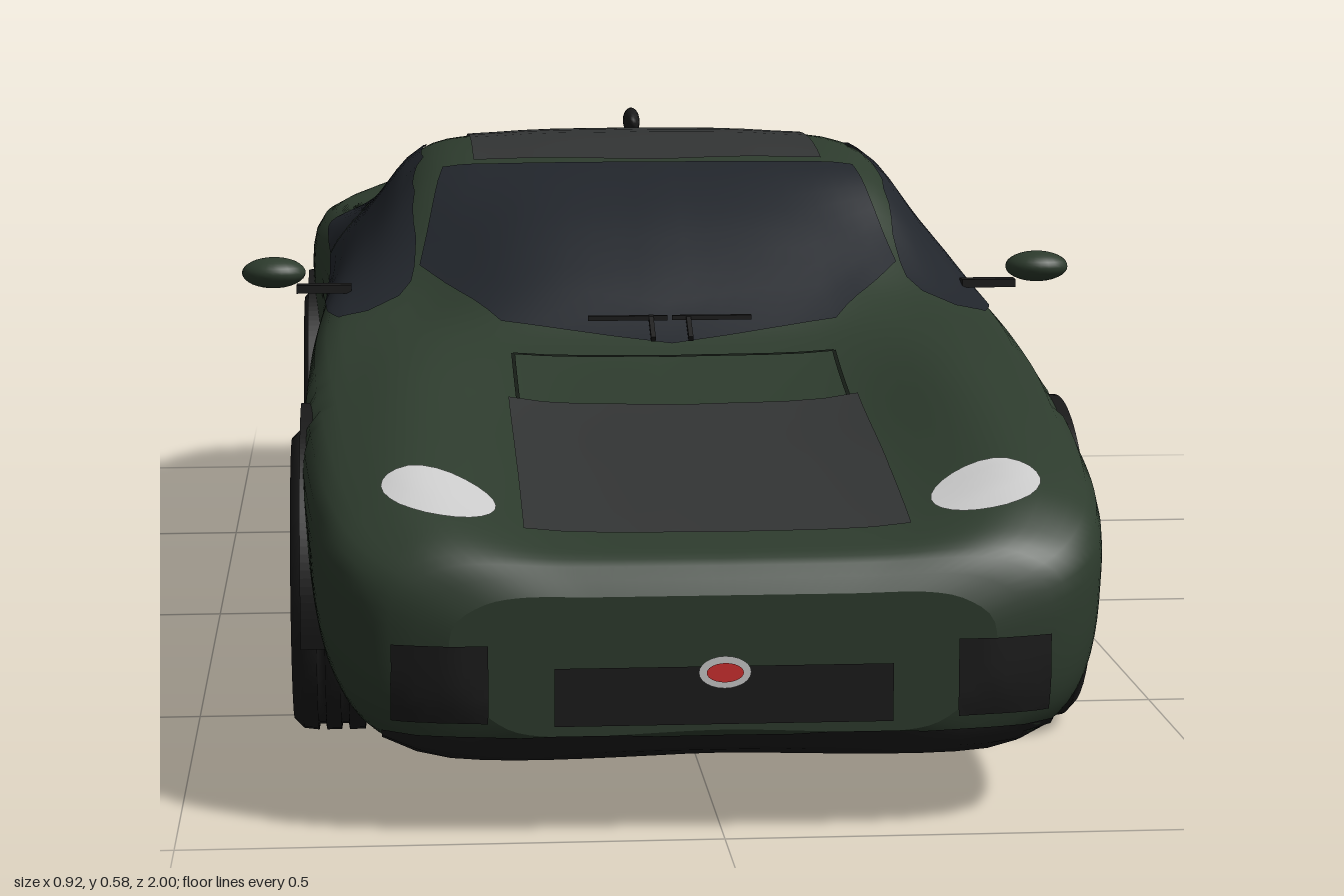
import * as THREE from 'three';

const mat = (color, side = THREE.DoubleSide) => new THREE.MeshStandardMaterial({ color, side });
const PAINT = mat(0x2d3b2d, THREE.FrontSide), GLASS = mat(0x21252b), BLACK = mat(0x1b1b1b), ROOF = mat(0x323434);
const TYRE = mat(0x191919), GOLD = mat(0x9c7c42), SILVER = mat(0xcccccc), STEEL = mat(0x8c8c8c), YELLOW = mat(0xd8b813);
const RED = mat(0x8c0c12), LAMP = mat(0xdddddd), BADGE = mat(0xd03030), SEAM = mat(0x151b15);

const add = (parent, name, geo, material, pos = [0, 0, 0], rot = [0, 0, 0], scale = [1, 1, 1]) => {
  const m = new THREE.Mesh(geo, material);
  m.name = name;
  m.position.set(...pos); m.rotation.set(...rot); m.scale.set(...scale);
  parent.add(m);
  return m;
};

// Wheel axles: z, y, tyre radius, centre x, outer x of the arch lip, side of the caliper
const AXLES = [
  { name: 'front', z: 0.545, y: 0.155, r: 0.155, x: 0.336, lip: 0.39, caliper: 1 },
  { name: 'rear', z: -0.52, y: 0.16, r: 0.16, x: 0.342, lip: 0.4, caliper: -1 },
];
const GAP = 0.019, WELL_X = 0.24;

// Body stations: z, half width, floor, shoulder height, half width of the top, centre height, rise of the top's edge
const STATIONS = [
  [0.99, 0.25, 0.10, 0.20, 0.19, 0.225, 0], [0.975, 0.305, 0.08, 0.225, 0.24, 0.25, 0.004],
  [0.94, 0.345, 0.07, 0.25, 0.26, 0.264, 0.016], [0.88, 0.367, 0.067, 0.275, 0.28, 0.277, 0.028],
  [0.75, 0.38, 0.065, 0.305, 0.28, 0.299, 0.035], [0.55, 0.387, 0.065, 0.335, 0.275, 0.328, 0.036],
  [0.40, 0.383, 0.065, 0.36, 0.265, 0.373, 0.01], [0.30, 0.38, 0.065, 0.375, 0.255, 0.437, -0.033],
  [0.20, 0.376, 0.065, 0.385, 0.255, 0.495, -0.043], [0.08, 0.372, 0.065, 0.39, 0.255, 0.54, -0.02],
  [-0.10, 0.372, 0.065, 0.392, 0.255, 0.557, -0.018], [-0.30, 0.378, 0.065, 0.395, 0.235, 0.538, -0.018],
  [-0.45, 0.388, 0.065, 0.40, 0.22, 0.50, -0.02], [-0.60, 0.39, 0.066, 0.402, 0.225, 0.462, -0.02],
  [-0.75, 0.381, 0.075, 0.40, 0.25, 0.445, -0.02], [-0.86, 0.356, 0.088, 0.40, 0.27, 0.442, -0.015],
  [-0.93, 0.322, 0.103, 0.40, 0.26, 0.445, -0.015], [-0.965, 0.28, 0.118, 0.40, 0.235, 0.445, -0.015],
  [-0.98, 0.24, 0.135, 0.39, 0.20, 0.437, -0.015],
];

// Smooth (Hermite) interpolation between stations
function station(z) {
  const S = STATIONS, n = S.length;
  let i = 0;
  while (i < n - 2 && z < S[i + 1][0]) i++;
  const d = S[i + 1][0] - S[i][0], t = (z - S[i][0]) / d;
  const slope = (k, c) => {
    const a = S[Math.max(k - 1, 0)], b = S[Math.min(k + 1, n - 1)];
    return (b[c] - a[c]) / (b[0] - a[0]);
  };
  return [1, 2, 3, 4, 5, 6].map((c) =>
    (2 * t ** 3 - 3 * t * t + 1) * S[i][c] + (t ** 3 - 2 * t * t + t) * d * slope(i, c) +
    (3 * t * t - 2 * t ** 3) * S[i + 1][c] + (t ** 3 - t * t) * d * slope(i + 1, c));
}

function bodyGeometry() {
  const ROWS = 140, M = 58, N = 2 * M, pos = [], index = [];
  for (let i = 0; i <= ROWS; i++) {
    const u = 1 - (2 * i) / ROWS;
    const z = 0.005 + 0.985 * (0.5 * u + 0.5 * Math.sin((u * Math.PI) / 2));
    const [w, b, s, r, t, h] = station(z);
    const half = new THREE.CatmullRomCurve3([
      [0, b], [0.75 * w, b], [0.89 * w, b + 0.02], [0.965 * w, b + 0.3 * (s - b)], [w, b + 0.65 * (s - b)],
      [0.985 * w, s], [(r + w) / 2, (s + t + h) / 2 + 0.006], [r, t + h], [0.6 * r, t + 0.2 * h], [0, t],
    ].map(([x, y]) => new THREE.Vector3(x, y, z)), false, 'centripetal').getSpacedPoints(M);
    const ring = [...half, ...half.slice(1, M).reverse().map((p) => new THREE.Vector3(-p.x, p.y, z))];
    for (const p of ring) {
      // draw vertices near a wheel arch onto its circle for a clean edge
      for (const a of AXLES) {
        const R = a.r + GAP, dy = p.y - a.y, dz = p.z - a.z, d = Math.hypot(dy, dz);
        if (Math.abs(p.x) > WELL_X && Math.abs(d - R) < 0.008) { p.y = a.y + (dy * R) / d; p.z = a.z + (dz * R) / d; }
      }
      pos.push(p.x, p.y, p.z);
    }
  }
  const tri = (...t) => {
    const c = [0, 1, 2].map((k) => t.reduce((sum, v) => sum + pos[3 * v + k] / 3, 0));
    const cut = AXLES.some((a) => Math.abs(c[0]) > WELL_X && Math.hypot(c[1] - a.y, c[2] - a.z) < a.r + GAP - 0.001);
    if (!cut) index.push(...t);
  };
  for (let i = 0; i < ROWS; i++) for (let j = 0; j < N; j++) {
    const a = i * N + j, b = i * N + ((j + 1) % N);
    tri(a, a + N, b); tri(b, a + N, b + N);
  }
  // nose and tail caps
  for (const [row, front] of [[0, true], [ROWS, false]]) {
    const start = pos.length / 3;
    pos.push(...pos.slice(row * N * 3, (row + 1) * N * 3));
    pos.push(0, front ? 0.165 : 0.27, pos[row * N * 3 + 2]);
    for (let j = 0; j < N; j++) {
      const a = start + j, b = start + ((j + 1) % N);
      front ? tri(start + N, a, b) : tri(start + N, b, a);
    }
  }
  const g = new THREE.BufferGeometry();
  g.setAttribute('position', new THREE.Float32BufferAttribute(pos, 3));
  g.setIndex(index);
  g.computeVertexNormals();
  return g;
}

// Panel between two edge lines, laid on the body along an axis; points are (x,z), (z,y) or (x,y)
function panel(group, body, name, material, axis, side, edgeA, edgeB, nu = 14, nv = 5, lift = 0.003) {
  const ray = new THREE.Raycaster(), pos = [], idx = [], ok = [];
  const at = (e, t) => {
    const k = Math.min(Math.floor(t * (e.length - 1)), e.length - 2), f = t * (e.length - 1) - k;
    return [0, 1].map((c) => e[k][c] + (e[k + 1][c] - e[k][c]) * f);
  };
  for (let i = 0; i <= nu; i++) for (let j = 0; j <= nv; j++) {
    const p = at(edgeA, i / nu), q = at(edgeB, i / nu);
    const a = p[0] + ((q[0] - p[0]) * j) / nv, b = p[1] + ((q[1] - p[1]) * j) / nv;
    const o = { x: [3 * side, b, a], y: [a, 3 * side, b], z: [a, b, 3 * side] }[axis];
    const d = { x: [-side, 0, 0], y: [0, -side, 0], z: [0, 0, -side] }[axis];
    ray.set(new THREE.Vector3(...o), new THREE.Vector3(...d));
    const hit = ray.intersectObject(body)[0];
    ok.push(!!hit);
    pos.push(...(hit ? hit.point.addScaledVector(hit.face.normal, lift).toArray() : [0, 0, 0]));
  }
  const face = (a, b, c) => { if (ok[a] && ok[b] && ok[c]) idx.push(a, b, c); };
  for (let i = 0; i < nu; i++) for (let j = 0; j < nv; j++) {
    const a = i * (nv + 1) + j, c = a + nv + 1;
    face(a, c, a + 1); face(a + 1, c, c + 1);
  }
  const g = new THREE.BufferGeometry();
  g.setAttribute('position', new THREE.Float32BufferAttribute(pos, 3));
  g.setIndex(idx);
  g.computeVertexNormals();
  add(group, name, g, material);
}

// Wheel facing +z
function wheel(r, caliperSide) {
  const g = new THREE.Group(), rim = r - 0.032, flat = [Math.PI / 2, 0, 0];
  const lathe = (pts) => new THREE.LatheGeometry(pts.map((p) => new THREE.Vector2(...p)), 48);
  const tread = [];
  for (const h of [-0.035, -0.012, 0.012, 0.035]) tread.push([r, h - 0.004], [r - 0.006, h - 0.003], [r - 0.006, h + 0.003], [r, h + 0.004]);
  add(g, 'tyre', lathe([[rim, -0.058], [r - 0.012, -0.064], [r - 0.002, -0.054], ...tread, [r - 0.002, 0.054], [r - 0.012, 0.064], [rim, 0.058]]), TYRE, [0, 0, 0], flat);
  add(g, 'rim', lathe([[rim - 0.006, -0.055], [rim - 0.008, 0.045], [rim - 0.006, 0.06], [rim + 0.003, 0.06]]), GOLD, [0, 0, 0], flat);
  add(g, 'brakeDisc', new THREE.CylinderGeometry(0.078, 0.078, 0.01, 36), STEEL, [0, 0, -0.005], flat);
  const caliper = new THREE.Shape().absarc(0, 0, 0.09, 0.45, 1.65).absarc(0, 0, 0.055, 1.65, 0.45, true);
  add(g, 'caliper', new THREE.ExtrudeGeometry(caliper, { depth: 0.025, bevelEnabled: false }), YELLOW, [0, 0, -0.006], [0, 0, 0], [caliperSide, 1, 1]);
  add(g, 'hub', new THREE.CylinderGeometry(0.024, 0.03, 0.03, 24), GOLD, [0, 0, 0.04], flat);
  add(g, 'hubCap', new THREE.CylinderGeometry(0.011, 0.011, 0.008, 20), SILVER, [0, 0, 0.058], flat);
  for (let i = 0; i < 12; i++) {
    const a = (i * Math.PI) / 6, mid = rim / 2 + 0.004, len = rim - 0.02;
    const place = (z) => [Math.cos(a) * mid, Math.sin(a) * mid, z];
    add(g, 'spoke', new THREE.BoxGeometry(len, 0.01, 0.014), GOLD, place(0.043), [0, 0, a]);
    add(g, 'spokeFace', new THREE.BoxGeometry(len, 0.006, 0.003), SILVER, place(0.051), [0, 0, a]);
  }
  return g;
}

export function createModel() {
  const car = new THREE.Group();
  car.name = 'car';
  const body = add(car, 'body', bodyGeometry(), PAINT);
  body.updateMatrixWorld(true);
  const P = (...a) => panel(car, body, ...a);
  const rect = (name, m, axis, side, a0, a1, b0, b1, nu, nv) => P(name, m, axis, side, [[a0, b0], [a1, b0]], [[a0, b1], [a1, b1]], nu, nv);
  const oval = (name, m, axis, side, [cx, cy], [ra, rb], tilt = 0, lift = 0.004) => {
    const arc = (s) => Array.from({ length: 13 }, (_, i) => {
      const t = Math.PI * (1 - i / 12), x = ra * Math.cos(t), y = s * rb * Math.sin(t);
      return [cx + x * Math.cos(tilt) - y * Math.sin(tilt), cy + x * Math.sin(tilt) + y * Math.cos(tilt)];
    });
    P(name, m, axis, side, arc(1), arc(-1), 12, 4, lift);
  };

  // Glass and roof
  P('windshield', GLASS, 'y', 1, [[-0.235, 0.07], [-0.12, 0.09], [0, 0.095], [0.12, 0.09], [0.235, 0.07]],
    [[-0.264, 0.225], [-0.18, 0.365], [0, 0.405], [0.18, 0.365], [0.264, 0.225]], 24, 10);
  P('roofPanel', ROOF, 'y', 1, [[-0.2, 0.062], [0, 0.087], [0.2, 0.062]], [[-0.2, -0.29], [0, -0.31], [0.2, -0.29]], 12, 10);
  P('rearWindow', GLASS, 'y', 1, [[-0.2, -0.305], [0, -0.325], [0.2, -0.305]], [[-0.17, -0.595], [0, -0.61], [0.17, -0.595]], 12, 8);
  for (const s of [1, -1]) {
    P('sideWindow', GLASS, 'x', s, [[0.3, 0.395], [0.2, 0.447], [0.1, 0.505], [0, 0.535], [-0.1, 0.54], [-0.205, 0.532]],
      [[0.3, 0.388], [0.2, 0.39], [0.1, 0.392], [0, 0.394], [-0.1, 0.397], [-0.205, 0.4]], 20, 10);
    P('quarterWindow', GLASS, 'x', s, [[-0.213, 0.53], [-0.3, 0.503], [-0.39, 0.445], [-0.44, 0.42]],
      [[-0.213, 0.4], [-0.3, 0.402], [-0.39, 0.408], [-0.44, 0.415]], 12, 8);
    rect('doorHandle', SEAM, 'x', s, -0.15, -0.095, 0.362, 0.368, 3, 1);
    rect('sideSkirt', BLACK, 'x', s, -0.33, 0.34, 0.07, 0.092, 12, 2);
    rect('underSkirt', BLACK, 'y', -1, s * 0.27, s * 0.325, -0.31, 0.32, 3, 6);
    oval('headlight', LAMP, 'y', 1, [s * 0.257, 0.878], [0.056, 0.044], s * -0.6);
    rect('sideIntake', BLACK, 'z', 1, s * 0.215, s * 0.302, 0.11, 0.182, 8, 6);
    // Mirrors and exhausts
    add(car, 'mirror', new THREE.SphereGeometry(1, 24, 16), PAINT, [s * 0.425, 0.43, 0.215], [0, 0, 0], [0.035, 0.017, 0.028]);
    add(car, 'mirrorArm', new THREE.BoxGeometry(0.06, 0.009, 0.02), BLACK, [s * 0.37, 0.412, 0.215]);
    const pipe = [[0.016, 0], [0.016, 0.06], [0.022, 0.06], [0.022, 0]].map((p) => new THREE.Vector2(...p));
    add(car, 'exhaust', new THREE.LatheGeometry(pipe, 24), SILVER, [s * 0.034, 0.175, -0.942], [-Math.PI / 2, 0, 0]);
    add(car, 'exhaustBore', new THREE.CircleGeometry(0.017, 24), BLACK, [s * 0.034, 0.175, -0.994], [0, Math.PI, 0]);
    // Wipers
    add(car, 'wiper', new THREE.BoxGeometry(0.085, 0.005, 0.006), BLACK, [s * 0.045, 0.397, 0.374]);
    add(car, 'wiperArm', new THREE.BoxGeometry(0.005, 0.006, 0.04), BLACK, [s * 0.02, 0.388, 0.39], [0.5, 0, 0]);
  }

  // Bonnet, nose and tail details
  rect('bonnetVent', ROOF, 'y', 1, -0.18, 0.18, 0.55, 0.925, 10, 16);
  for (const x of [-0.17, 0.17]) rect('bonnetSeam', SEAM, 'y', 1, x - 0.002, x + 0.002, 0.43, 0.55, 1, 6);
  rect('bonnetSeam', SEAM, 'y', 1, -0.17, 0.17, 0.428, 0.432, 10, 1);
  rect('engineVent', BLACK, 'y', 1, -0.19, 0.19, -0.86, -0.715, 10, 6);
  rect('frontIntake', BLACK, 'z', 1, -0.155, 0.155, 0.106, 0.16, 8, 3);
  rect('splitter', BLACK, 'z', 1, -0.31, 0.31, 0.072, 0.097, 20, 3);
  rect('tailLight', RED, 'z', -1, -0.322, 0.322, 0.367, 0.39, 26, 3);
  rect('rearGrille', BLACK, 'z', -1, -0.19, 0.19, 0.15, 0.235, 8, 4);
  for (const [side, y] of [[1, 0.155], [-1, 0.218]]) {
    oval('badgeRing', SILVER, 'z', side, [0, y], [0.024, 0.015], 0, 0.006);
    oval('badge', BADGE, 'z', side, [0, y], [0.017, 0.009], 0, 0.008);
  }
  add(car, 'antenna', new THREE.SphereGeometry(1, 16, 12), BLACK, [0, 0.562, -0.205], [0, 0, 0], [0.01, 0.016, 0.038]);

  // Wheels, wells and arch lips
  for (const a of AXLES) for (const s of [1, -1]) {
    const corner = new THREE.Group(), R = a.r + GAP, dip = Math.asin((a.y - 0.07) / R);
    corner.name = a.name + 'Wheel';
    corner.position.set(0, a.y, a.z);
    corner.rotation.y = (s * Math.PI) / 2;
    const w = wheel(a.r, s * a.caliper);
    w.position.z = a.x;
    corner.add(w);
    const wall = new THREE.Shape().absarc(0, 0, R, -dip, Math.PI + dip);
    add(corner, 'wellWall', new THREE.ShapeGeometry(wall, 32), BLACK, [0, 0, WELL_X]);
    // the lip covers the upper arch, the shallower liner reaches down to the floor
    for (const [name, drop, inner, outer, x] of [['archLip', 0.2, -0.01, 0.005, a.lip], ['wellLiner', dip, -0.002, 0.002, 0.335]]) {
      const band = new THREE.Shape().absarc(0, 0, R + outer, -drop, Math.PI + drop).absarc(0, 0, R + inner, Math.PI + drop, -drop, true);
      add(corner, name, new THREE.ExtrudeGeometry(band, { depth: x - WELL_X, bevelEnabled: false, curveSegments: 40 }), TYRE, [0, 0, WELL_X]);
    }
    car.add(corner);
  }
  return car;
}
